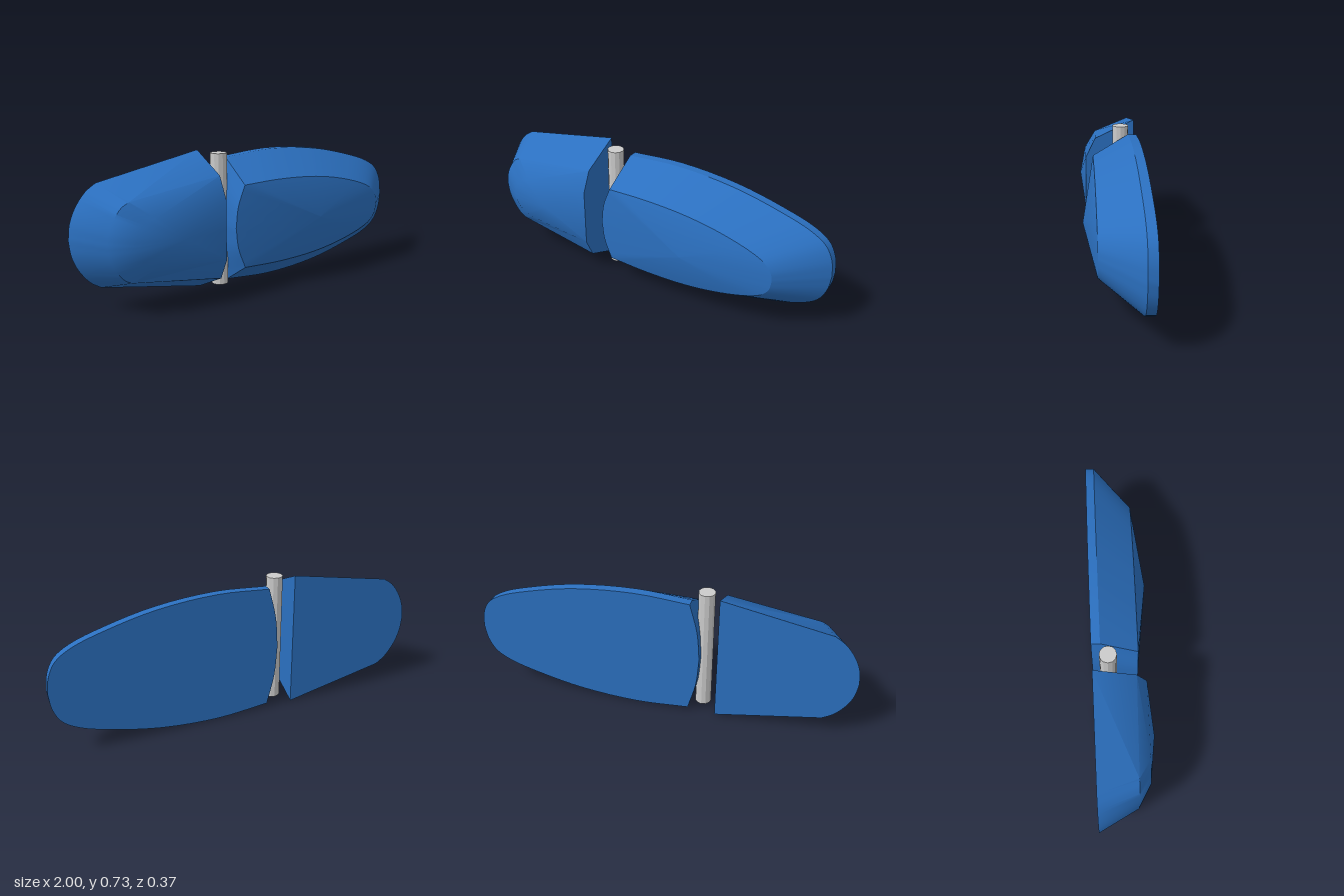
import * as THREE from 'three';
import { toCreasedNormals } from 'three/addons/utils/BufferGeometryUtils.js';

const BLUE = new THREE.MeshStandardMaterial({ color: 0x2b70c0 });
const GREY = new THREE.MeshStandardMaterial({ color: 0xcccccc });

// smooth curve through [x, halfHeight] points
function smooth(points, perSpan) {
  const curve = new THREE.CatmullRomCurve3(points.map(([x, h]) => new THREE.Vector3(x, h, 0)));
  return curve.getPoints((points.length - 1) * perSpan).map(p => [p.x, p.y]);
}

// mirrors a half outline about the mid height and lays it on a plane sloping along x
function ring(half, midY, zAt, reverse) {
  const lower = half.slice(1, -1).reverse().map(([x, h]) => [x, -h]);
  const points = [...half, ...lower].map(([x, h]) => [x, midY + h, zAt(x)]);
  return reverse ? points.reverse() : points;
}

const slope = (x0, z0, x1, z1) => x => z0 + (z1 - z0) * (x - x0) / (x1 - x0);

// skins the rings from back to front, with a flat back and a peaked front
function loft(name, rings, backCentre, peak, crease) {
  const n = rings[0].length;
  const positions = [];
  const tri = (...corners) => corners.forEach(c => positions.push(...c));
  const last = rings[rings.length - 1];
  for (let i = 0; i < n; i++) {
    const j = (i + 1) % n;
    for (let r = 0; r < rings.length - 1; r++) {
      const low = rings[r], high = rings[r + 1];
      tri(low[i], low[j], high[j]);
      tri(low[i], high[j], high[i]);
    }
    tri(last[i], last[j], peak);
    tri(rings[0][j], rings[0][i], backCentre);
  }
  const geometry = new THREE.BufferGeometry();
  geometry.setAttribute('position', new THREE.Float32BufferAttribute(positions, 3));
  const mesh = new THREE.Mesh(toCreasedNormals(geometry, crease), BLUE);
  mesh.name = name;
  return mesh;
}

// long shell: bowed inner end, tapering rounded outer end
function createLongShell() {
  const midY = 0.357;
  const half = outer => {
    const h = outer[0][1];
    return [...smooth([[-0.2, 0], [-0.186, h * 0.5], [-0.145, h]], 4), ...smooth(outer, 4).slice(1)];
  };
  const base = half([[-0.145, 0.333], [0.14, 0.352], [0.45, 0.328], [0.7, 0.272],
    [0.87, 0.215], [0.95, 0.16], [0.988, 0.085], [1, 0]]);
  const face = half([[-0.145, 0.217], [0.08, 0.223], [0.32, 0.21], [0.52, 0.175],
    [0.68, 0.125], [0.74, 0.09], [0.772, 0.047], [0.78, 0]]);
  const backZ = slope(-0.2, -0.132, 1, -0.184);
  const rings = [
    ring(base, midY, backZ, true),
    ring(base, midY, x => backZ(x) + 0.045, true),
    ring(face, midY, slope(-0.2, 0.1, 0.78, 0.063), true),
  ];
  return loft('longShell', rings, [0.4, midY, backZ(0.4)], [0.31, midY, 0.142], 0.5);
}

// short shell: flat inner end, straight flaring sides, rounded outer end
function createShortShell() {
  const midY = 0.37;
  const half = (x, h, arc) => [[x, 0], [x, h], ...smooth(arc, 4)];
  const base = half(-0.292, 0.367, [[-0.85, 0.26], [-0.905, 0.222], [-0.96, 0.15], [-0.99, 0.076], [-1, 0]]);
  const shoulder = half(-0.284, 0.265, [[-0.77, 0.195], [-0.81, 0.172], [-0.855, 0.112], [-0.878, 0.056], [-0.885, 0]]);
  const face = half(-0.281, 0.155, [[-0.66, 0.12], [-0.7, 0.107], [-0.745, 0.072], [-0.765, 0.036], [-0.77, 0]]);
  const backZ = slope(-0.292, -0.125, -1, -0.095);
  const rings = [
    ring(base, midY, backZ),
    ring(shoulder, midY, slope(-0.284, 0.088, -0.885, 0.1)),
    ring(face, midY, slope(-0.281, 0.141, -0.77, 0.16)),
  ];
  return loft('shortShell', rings, [-0.6, midY, backZ(-0.6)], [-0.525, midY, 0.181], 0.6);
}

// upright pin between the two shells
function createHingePin() {
  const pin = new THREE.Mesh(
    toCreasedNormals(new THREE.CylinderGeometry(0.043, 0.043, 0.695, 12), 0.4), GREY);
  pin.position.set(-0.21, 0.3775, -0.051);
  pin.name = 'hingePin';
  return pin;
}

export function createModel() {
  const group = new THREE.Group();
  group.name = 'hingedShells';
  group.add(createLongShell(), createShortShell(), createHingePin());
  return group;
}
